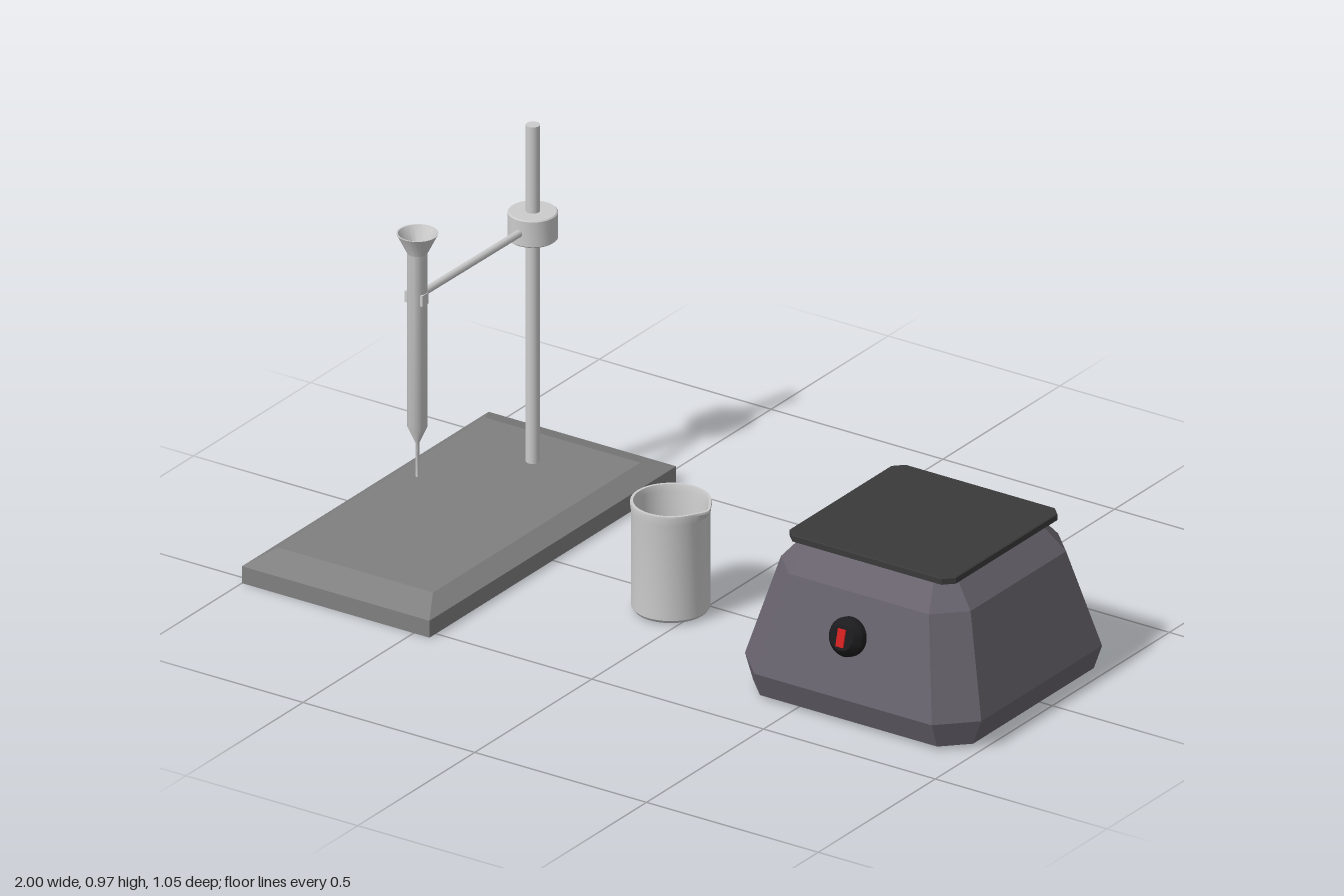
import * as THREE from 'three';
import { toCreasedNormals } from 'three/addons/utils/BufferGeometryUtils.js';

const material = (color, flat = false) => new THREE.MeshStandardMaterial({ color, flatShading: flat });
const GREY = material(0xcccccc);
const STONE = material(0x808080, true);
const CASING = material(0x68636d, true);
const DARK = material(0x3a3a3a, true);
const KNOB = material(0x1c1c1e);
const RED = material(0xd02020);

function add(parent, name, geometry, mat, x = 0, y = 0, z = 0) {
  const mesh = new THREE.Mesh(geometry, mat);
  mesh.name = name;
  mesh.position.set(x, y, z);
  parent.add(mesh);
  return mesh;
}

// Rectangle outline with cut corners, counterclockwise seen from above
function outline(hx, hz, cut = 0) {
  if (!cut) return [[-hx, hz], [hx, hz], [hx, -hz], [-hx, -hz]];
  const a = hx - cut, b = hz - cut;
  return [[-a, hz], [a, hz], [hx, b], [hx, -b], [a, -hz], [-a, -hz], [-hx, -b], [-hx, b]];
}

// Closed solid through stacked outlines: each level is [y, halfX, halfZ, cornerCut]
function loft(levels) {
  const rings = levels.map(([y, hx, hz, cut]) => outline(hx, hz, cut).map(([x, z]) => [x, y, z]));
  const n = rings[0].length, last = rings.length - 1, index = [];
  for (let k = 0; k < last; k++) {
    for (let i = 0; i < n; i++) {
      const a = k * n + i, b = k * n + (i + 1) % n;
      index.push(a, b, b + n, a, b + n, a + n);
    }
  }
  for (let i = 1; i < n - 1; i++) {
    index.push(0, i + 1, i);
    index.push(last * n, last * n + i, last * n + i + 1);
  }
  const geometry = new THREE.BufferGeometry();
  geometry.setAttribute('position', new THREE.Float32BufferAttribute(rings.flat(2), 3));
  geometry.setIndex(index);
  geometry.computeVertexNormals();
  return geometry;
}

// Turned solid with crisp edges; an optional rule moves its vertices
function turned(profile, segments = 32, rule) {
  const geometry = new THREE.LatheGeometry(profile.map(([r, y]) => new THREE.Vector2(r, y)), segments);
  if (rule) {
    const p = geometry.attributes.position;
    for (let i = 0; i < p.count; i++) p.setX(i, rule(p.getX(i), p.getY(i), p.getZ(i)));
  }
  return toCreasedNormals(geometry, 0.5);
}

function createStand() {
  const stand = new THREE.Group();
  stand.name = 'buretteStand';
  add(stand, 'standBase', loft([[0, 0.273, 0.527], [0.045, 0.273, 0.527], [0.075, 0.226, 0.443]]), STONE, -0.727);
  add(stand, 'standRod', new THREE.CylinderGeometry(0.0175, 0.0175, 0.9, 24), GREY, -0.72, 0.52, -0.305);

  // Clamp collar with softened rims
  add(stand, 'clampCollar', turned([
    [0, 0.669], [0.058, 0.669], [0.061, 0.672], [0.061, 0.738], [0.058, 0.741], [0, 0.741],
  ]), GREY, -0.72, 0, -0.305);

  // Arm from collar to burette
  const arm = new THREE.LineCurve3(new THREE.Vector3(-0.72, 0.703, -0.27), new THREE.Vector3(-0.71, 0.715, 0.2));
  add(stand, 'clampArm', new THREE.TubeGeometry(arm, 1, 0.0095, 12), GREY);
  add(stand, 'clampClip', new THREE.BoxGeometry(0.053, 0.029, 0.025), GREY, -0.71, 0.713, 0.207);

  // Burette: fine tip, tapered shoulder, tube and open funnel
  add(stand, 'burette', turned([
    [0, 0.235], [0.004, 0.235], [0.005, 0.325], [0.025, 0.37], [0.025, 0.83], [0.051, 0.882],
    [0.047, 0.882], [0.019, 0.83], [0.019, 0.78], [0, 0.78],
  ], 24), GREY, -0.71, 0, 0.203);
  return stand;
}

function createBeaker() {
  // Pouring lip pulls the rim out towards +x
  const lip = (x, y, z) => (y > 0.27 && x > 0 ? x + 0.012 * Math.exp(-((z / 0.025) ** 2)) : x);
  const geometry = turned([
    [0, 0.006], [0.09, 0.006], [0.096, 0.014], [0.096, 0.265], [0.099, 0.286], [0.098, 0.291],
    [0.091, 0.291], [0.087, 0.275], [0.087, 0.025], [0, 0.02],
  ], 48, lip);
  const beaker = new THREE.Group();
  beaker.name = 'beaker';
  add(beaker, 'beakerGlass', geometry, GREY, -0.064, 0, 0.068);
  return beaker;
}

function createHotplate() {
  const hotplate = new THREE.Group();
  hotplate.name = 'hotplate';
  hotplate.position.set(0.655, 0, 0.044);

  // Faceted casing
  add(hotplate, 'casing', loft([
    [0.006, 0.31, 0.31, 0.055], [0.01, 0.32, 0.32, 0.062], [0.076, 0.344, 0.344, 0.086],
    [0.33, 0.276, 0.276, 0.072], [0.39, 0.225, 0.225, 0.042],
  ]), CASING);

  // Heating plate on a short recessed support
  add(hotplate, 'plateSupport', new THREE.CylinderGeometry(0.1, 0.1, 0.02, 24), DARK, 0, 0.393, 0);
  add(hotplate, 'heatingPlate', loft([
    [0.399, 0.242, 0.242, 0.025], [0.414, 0.242, 0.242, 0.025], [0.416, 0.239, 0.239, 0.024],
  ]), DARK);

  // Dial set square to the sloping front
  const dial = new THREE.Group();
  dial.name = 'dial';
  dial.position.set(-0.008, 0.226, 0.303);
  dial.rotation.x = Math.PI / 2 - 0.26;
  add(dial, 'knob', turned([[0, -0.01], [0.049, -0.01], [0.049, 0.016], [0.046, 0.022], [0.032, 0.038], [0, 0.038]]), KNOB);
  add(dial, 'knobMarker', new THREE.BoxGeometry(0.022, 0.006, 0.045), RED, 0, 0.039, 0);
  hotplate.add(dial);
  return hotplate;
}

export function createModel() {
  const model = new THREE.Group();
  model.name = 'titrationSet';
  model.add(createStand(), createBeaker(), createHotplate());
  return model;
}
